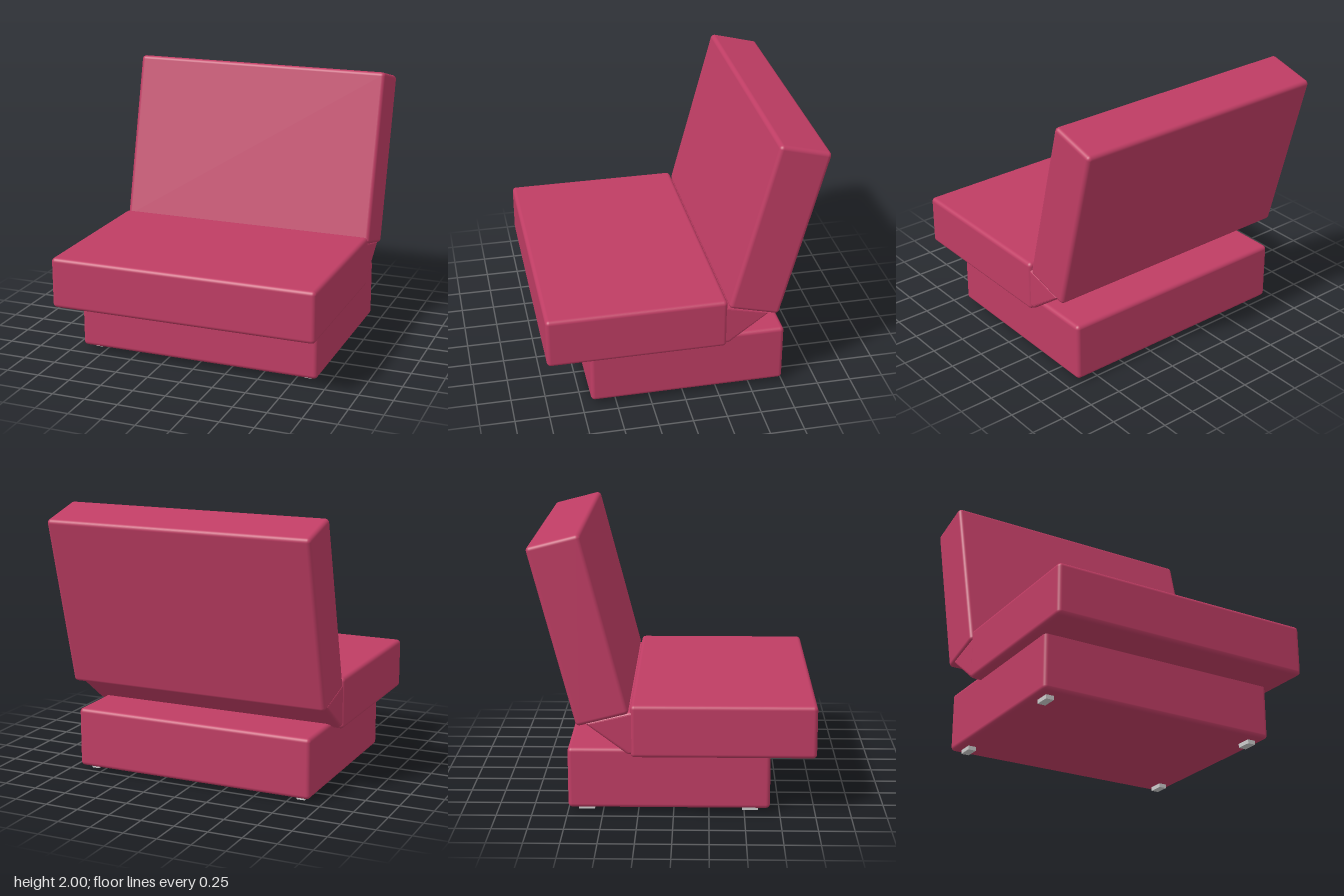
import * as THREE from 'three';
import { RoundedBoxGeometry } from 'three/addons/geometries/RoundedBoxGeometry.js';

const fabric = new THREE.MeshStandardMaterial({ color: 0xbf3d64 });
const grey = new THREE.MeshStandardMaterial({ color: 0xcccccc });

// Soft-edged block centred at (0, y, z)
function cushion(name, w, h, d, y, z, radius = 0.03) {
  const mesh = new THREE.Mesh(new RoundedBoxGeometry(w, h, d, 4, radius), fabric);
  mesh.name = name;
  mesh.position.set(0, y, z);
  return mesh;
}

export function createModel() {
  const model = new THREE.Group();
  model.name = 'foldingChair';

  // Base block, overhanging seat and reclined backrest
  model.add(cushion('base', 1.84, 0.445, 1.43, 0.2525, -0.033));
  model.add(cushion('seat', 2, 0.38, 1.3, 0.62, 0.35));
  const back = cushion('backrest', 2, 1.3, 0.38, 1.331, -0.653);
  back.rotation.x = -THREE.MathUtils.degToRad(14.5);
  model.add(back);

  // Fabric hinge: a triangular wedge joining the seat to the backrest
  const bevel = 0.025;
  const profile = new THREE.Shape([
    new THREE.Vector2(0.27, 0.745),
    new THREE.Vector2(0.27, 0.475),
    new THREE.Vector2(0.31, 0.475),
    new THREE.Vector2(0.585, 0.672),
  ]);
  const length = 1.98 - 2 * bevel;
  const wedge = new THREE.ExtrudeGeometry(profile, {
    depth: length, bevelEnabled: true, bevelSize: bevel, bevelThickness: bevel, bevelSegments: 4,
  });
  wedge.translate(0, 0, -length / 2);
  wedge.rotateY(Math.PI / 2); // profile x becomes -z, extrusion runs along x
  const hinge = new THREE.Mesh(wedge, fabric);
  hinge.name = 'hingeWedge';
  model.add(hinge);

  // Four small feet
  for (const x of [-0.83, 0.83]) {
    for (const z of [0.543, -0.62]) {
      const foot = new THREE.Mesh(new THREE.BoxGeometry(0.06, 0.04, 0.115), grey);
      foot.name = 'foot';
      foot.position.set(x, 0.02, z);
      model.add(foot);
    }
  }
  return model;
}
